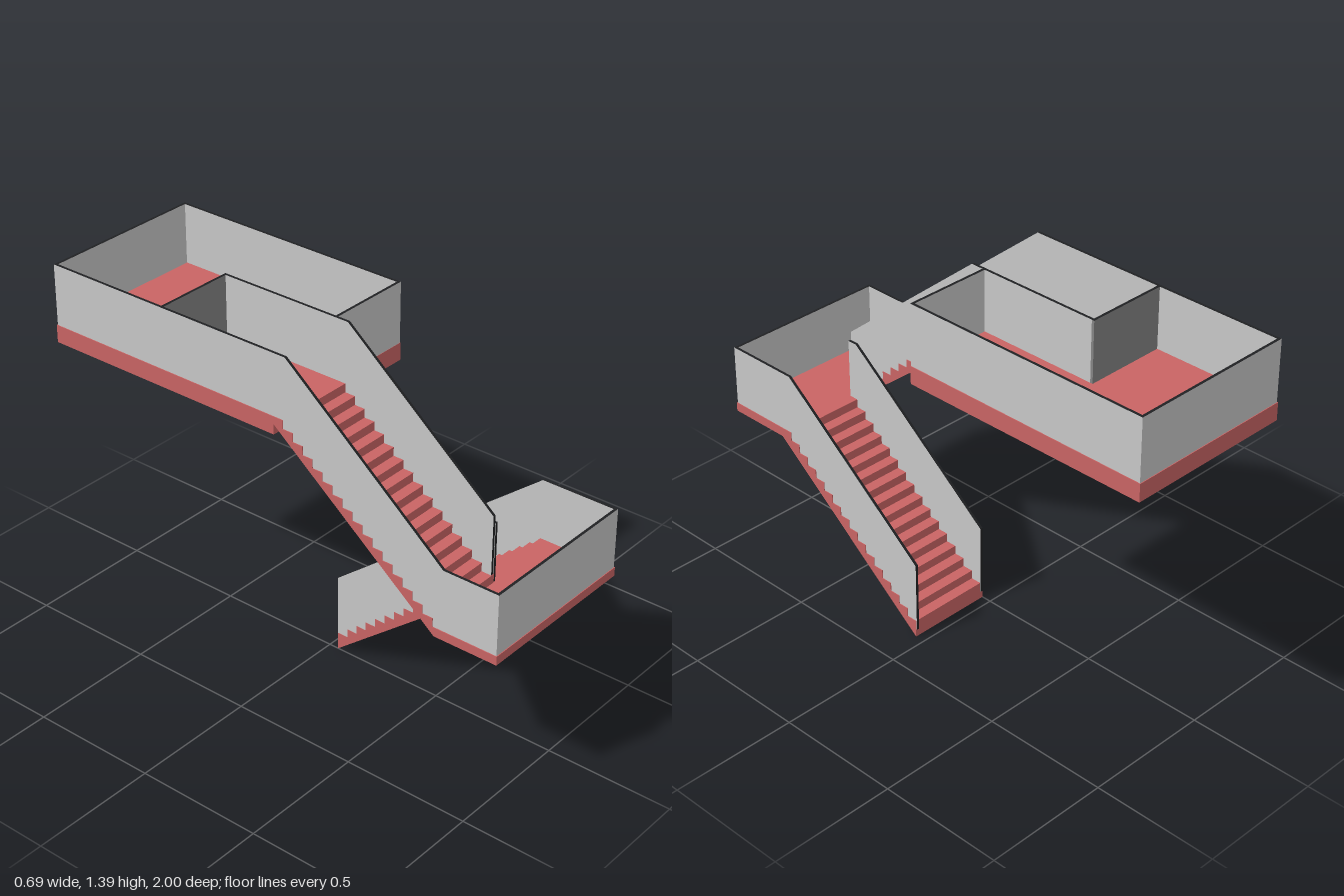
import * as THREE from 'three';

const mat = (name, color) => new THREE.MeshStandardMaterial({ name, color });

export function createModel() {
  const group = new THREE.Group();
  const red = mat('red steps', 0xc96464);
  const grey = mat('light grey panel', 0xc8c8c8);
  const darkGrey = mat('dark grey panel', 0x848484);
  const black = mat('black edge', 0x202123);

  const W = 0.346;              // half width of the whole stair
  const T = 0.011;              // panel thickness
  const IN = 0.003;             // panel inset from the slab edge
  const RUN = 0.0435, RISE = 0.035;
  const MID = 0.595, TOP = 1.15;        // landing floor heights
  const MID_RAIL = 0.835, TOP_RAIL = 1.393;

  const add = (name, geometry, material) => {
    const mesh = new THREE.Mesh(geometry, material);
    mesh.name = name;
    group.add(mesh);
  };

  // Side profile given as [z, y] points, extruded from x0 to x1
  const profile = (name, points, x0, x1, material) => {
    const shape = new THREE.Shape(points.map(([z, y]) => new THREE.Vector2(z, y)));
    const geo = new THREE.ExtrudeGeometry(shape, { depth: x1 - x0, bevelEnabled: false });
    geo.rotateY(-Math.PI / 2).translate(x1, 0, 0);
    add(name, geo, material);
  };

  const box = (name, x0, x1, y0, y1, z0, z1, material) => {
    const geo = new THREE.BoxGeometry(x1 - x0, y1 - y0, z1 - z0);
    geo.translate((x0 + x1) / 2, (y0 + y1) / 2, (z0 + z1) / 2);
    add(name, geo, material);
  };

  // Panels across the stair: grey faces with a black top edge
  const crossPanel = (name, x0, x1, y0, y1, z0, face) =>
    box(name, x0, x1, y0, y1, z0, z0 + T, [face, face, black, black, face, face]);

  // Panels along the stair: grey faces with black edges all round
  const sidePanel = (name, points, x0) => profile(name, points, x0, x0 + T, [grey, black]);

  // Landings
  box('lowerLanding', -W, W, 0.56, MID, 0.74, 1, red);
  box('upperLanding', -W, W, 1.08, TOP, -1, 0.04, red);

  // Lower flight, climbing towards the front
  const lower = [[0.04, 0]];
  for (let k = 0; k < 15; k++) {
    const z = 0.04 + RUN * k, y = 0.07 + RISE * k;
    lower.push([z, y], [z + RUN, y]);
  }
  lower.push([0.04 + RUN * 15, MID], [0.74, MID], [0.74, 0.56]);
  profile('lowerFlight', lower, 0, W, red);

  // Upper flight, climbing towards the back
  const upper = [[0.74, 0.56], [0.74, MID]];
  const rise = (TOP - MID) / 16;
  for (let k = 0; k < 16; k++) {
    const z = 0.7325 - RUN * k, y = MID + rise * k;
    upper.push([z, y], [z, y + rise]);
  }
  upper.push([0.04, TOP], [0.04, 1.12]);
  profile('upperFlight', upper, -W, 0, red);

  const frontZ = 1 - IN - T, backZ = -1 + IN + T;
  const rightX = W - IN - T, leftX = -W + IN;

  // Lower flight panels: the outer one runs on along the landing
  const lowerPanel = (end) => [[0.038, 0.03], [0.7, 0.57], [end, 0.58],
    [end, MID_RAIL], [0.69, MID_RAIL], [0.038, 0.315]];
  sidePanel('lowerOuterPanel', lowerPanel(frontZ), rightX);
  sidePanel('lowerInnerPanel', lowerPanel(0.73), 0.001);

  // Upper flight panels: the outer one joins both landings
  sidePanel('upperOuterPanel', [[frontZ, 0.58], [frontZ, MID_RAIL], [0.77, MID_RAIL],
    [0.09, TOP_RAIL], [backZ, TOP_RAIL], [backZ, 1.13], [0.04, 1.13], [0.72, 0.585]], leftX);
  sidePanel('upperInnerPanel', [[0.73, 0.585], [0.73, 0.868], [0.09, TOP_RAIL],
    [-0.47, TOP_RAIL], [-0.47, 1.13], [0.04, 1.13], [0.72, 0.585]], -0.002 - T);

  // Upper landing side panel
  sidePanel('upperLandingSidePanel', [[0.028, 1.13], [0.028, TOP_RAIL],
    [backZ, TOP_RAIL], [backZ, 1.13]], rightX);

  // Panels across the landings
  crossPanel('lowerLandingFrontPanel', leftX, rightX + T, 0.58, MID_RAIL, frontZ, grey);
  crossPanel('upperLandingBackPanel', leftX, rightX + T, 1.13, TOP_RAIL, backZ - T, grey);
  crossPanel('upperLandingFrontPanel', -0.002, rightX + T, 1.13, TOP_RAIL, 0.028, grey);
  crossPanel('upperLandingDividerPanel', leftX + T, -0.002, 1.13, TOP_RAIL, -0.47 - T, darkGrey);

  return group;
}
